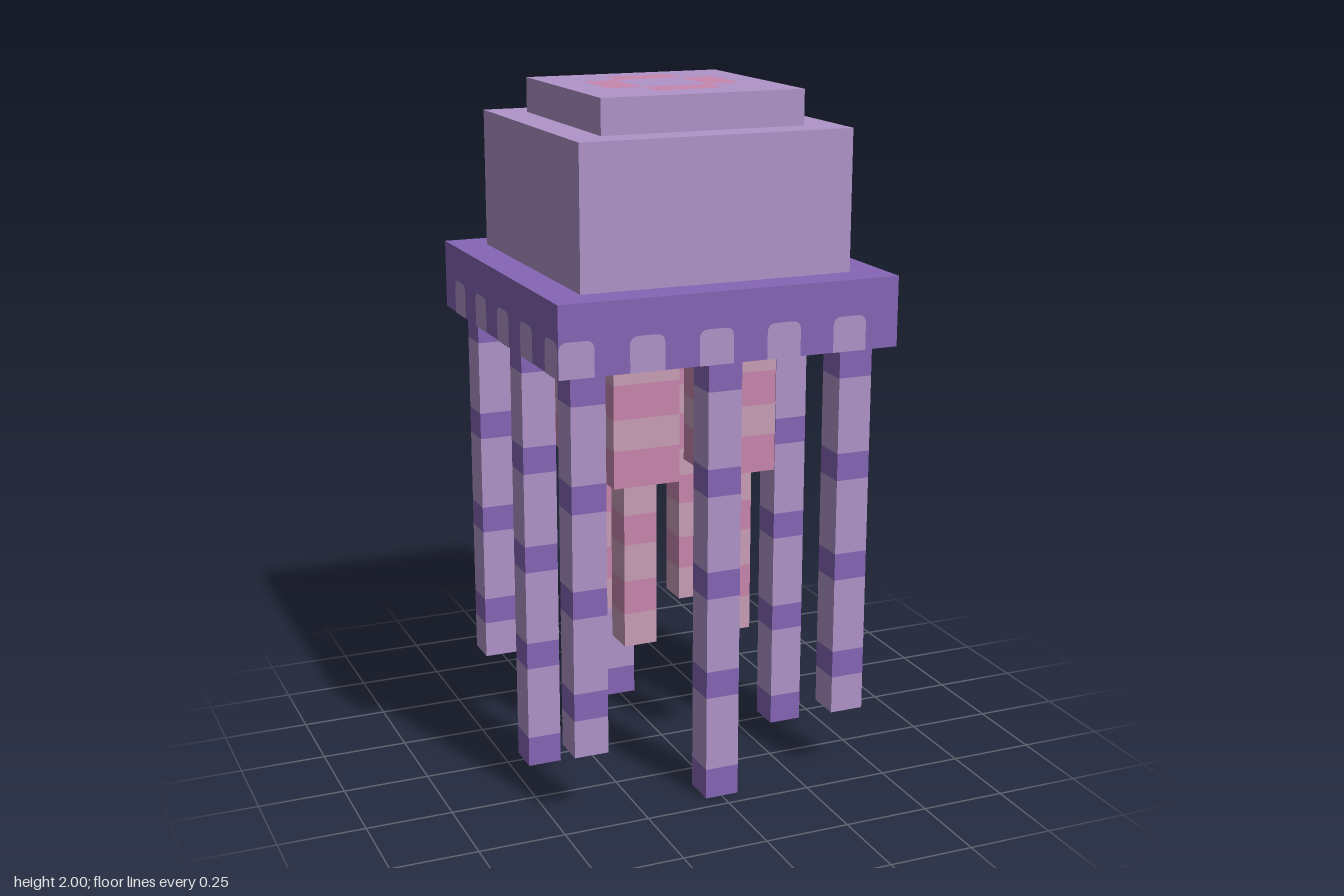
import * as THREE from 'three';

const material = (name, color) => {
  const m = new THREE.MeshStandardMaterial({ color });
  m.name = name;
  return m;
};

export function createModel() {
  const lilac = material('lilac', 0xb094c9);
  const violet = material('violet', 0x8566b5);
  const palePink = material('pale pink', 0xc99eb8);
  const rosePink = material('rose pink', 0xc886ad);

  const model = new THREE.Group();
  model.name = 'jellyfish';

  const block = (name, width, bottom, top, mat) => {
    const mesh = new THREE.Mesh(new THREE.BoxGeometry(width, top - bottom, width), mat);
    mesh.name = name;
    mesh.position.y = (top + bottom) / 2;
    model.add(mesh);
  };

  // Square column with bands between descending levels, alternating two colours
  const bandedColumn = (width, levels, first, second) => {
    const n = levels.length - 1;
    const geo = new THREE.BoxGeometry(width, 1, width, 1, n, 1);
    const pos = geo.attributes.position;
    for (let i = 0; i < pos.count; i++) {
      pos.setY(i, levels[Math.round((0.5 - pos.getY(i)) * n)]);
    }
    geo.clearGroups();
    let start = 0;
    const addQuad = (band) => {
      geo.addGroup(start, 6, band % 2);
      start += 6;
    };
    const addSide = () => { for (let b = 0; b < n; b++) addQuad(b); };
    addSide(); addSide();           // +x, -x
    addQuad(0); addQuad(n - 1);     // top, bottom
    addSide(); addSide();           // +z, -z
    return new THREE.Mesh(geo, [first, second]);
  };

  const place = (mesh, name, x, z) => {
    mesh.name = name;
    mesh.position.set(x, 0, z);
    model.add(mesh);
  };

  // Bell
  block('crown', 0.6, 1.9, 2, lilac);
  block('bell', 0.8, 1.5, 1.9, lilac);
  block('brim', 1, 1.3, 1.5, violet);

  // Scallops on the brim: round-topped patches, shifted towards one end of each side
  const scallop = new THREE.Shape();
  const r = 0.025;
  scallop.moveTo(0, 0);
  scallop.lineTo(0.1, 0);
  scallop.lineTo(0.1, 0.1 - r);
  scallop.quadraticCurveTo(0.1, 0.1, 0.1 - r, 0.1);
  scallop.lineTo(r, 0.1);
  scallop.quadraticCurveTo(0, 0.1, 0, 0.1 - r);
  const scallopGeo = new THREE.ShapeGeometry(scallop, 4);
  for (let side = 0; side < 4; side++) {
    const row = new THREE.Group();
    row.name = 'brimScallops';
    row.rotation.y = side * Math.PI / 2;
    for (let i = 0; i < 5; i++) {
      const patch = new THREE.Mesh(scallopGeo, lilac);
      patch.name = 'scallop';
      patch.position.set((side % 2 ? -0.4 : -0.5) + i * 0.2, 1.3, 0.502);
      row.add(patch);
    }
    model.add(row);
  }

  // Ring of four pink marks on the crown
  for (let i = 0; i < 4; i++) {
    const a = i * Math.PI / 2;
    const mark = new THREE.Mesh(new THREE.PlaneGeometry(0.2, 0.1).rotateX(-Math.PI / 2), rosePink);
    mark.name = 'crownMark';
    mark.rotation.y = a;
    mark.position.set(Math.sin(a) * 0.15, 2.002, Math.cos(a) * 0.15);
    model.add(mark);
  }

  // Outer tentacles: short at the corners, long at the middle of each side
  const bands = [1.3, 1.21, 0.99, 0.91, 0.69, 0.61, 0.39, 0.31];
  for (const x of [-0.4, 0, 0.4]) {
    for (const z of [-0.4, 0, 0.4]) {
      if (!x && !z) continue;
      const corner = x && z;
      const levels = corner ? [...bands, 0.2] : [...bands, 0.09, 0];
      place(bandedColumn(0.1, levels, violet, lilac), corner ? 'cornerTentacle' : 'sideTentacle', x, z);
    }
  }

  // Inner arms: thick upper part with a thin tip
  for (const x of [-0.15, 0.15]) {
    for (const z of [-0.15, 0.15]) {
      place(bandedColumn(0.2, [1.3, 1.2, 1.1, 1.01, 0.9], palePink, rosePink), 'innerArm', x, z);
      place(bandedColumn(0.1, [0.9, 0.8, 0.71, 0.6, 0.5, 0.4], palePink, rosePink), 'innerArmTip', x, z);
    }
  }

  return model;
}
